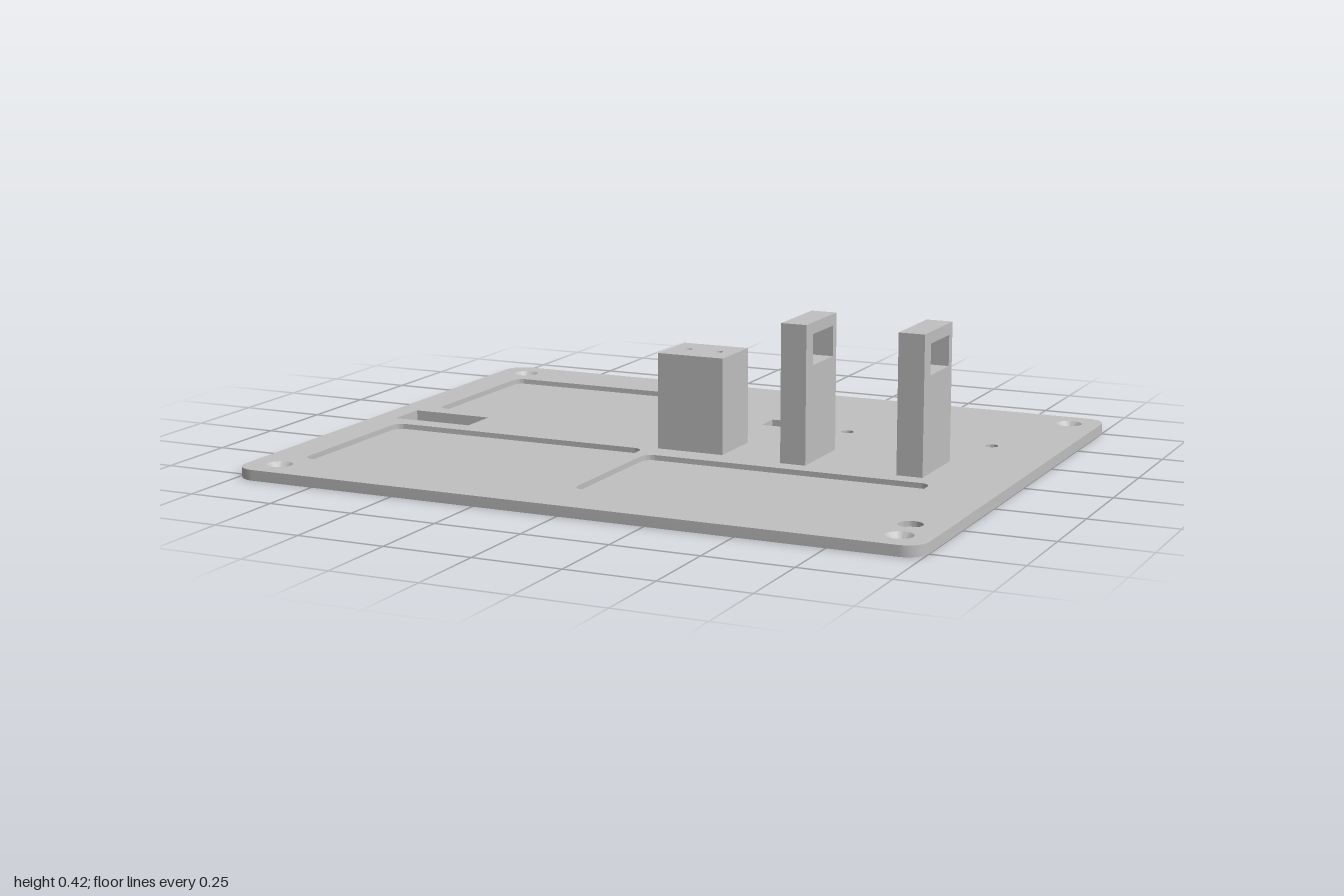
import * as THREE from 'three';
import { toCreasedNormals } from 'three/addons/utils/BufferGeometryUtils.js';

const grey = new THREE.MeshStandardMaterial({ color: 0xc0c0c0 });
grey.name = 'grey plastic';

const TOP = 0.03;      // upper face of the plate
const FLOOR = 0.015;   // floor of the pockets

// Closed outlines in the x/z plane (Vector2.y holds z)
function rect(x0, x1, z0, z1, r = 0) {
  if (!r) return [[x0, z0], [x1, z0], [x1, z1], [x0, z1]].map(p => new THREE.Vector2(...p));
  const centres = [[x1 - r, z1 - r], [x0 + r, z1 - r], [x0 + r, z0 + r], [x1 - r, z0 + r]];
  const n = 8;
  return centres.flatMap(([x, z], i) => Array.from({ length: n + 1 }, (_, k) => {
    const a = (i + k / n) * Math.PI / 2;
    return new THREE.Vector2(x + r * Math.cos(a), z + r * Math.sin(a));
  }));
}

function circle(x, z, r, n = 32) {
  return Array.from({ length: n }, (_, k) => {
    const a = k / n * Math.PI * 2;
    return new THREE.Vector2(x + r * Math.cos(a), z + r * Math.sin(a));
  });
}

// Band between two outlines: faces outward when it rises, inward when it falls
function band(out, ringA, yA, ringB, yB) {
  ringA.forEach((a, i) => {
    const j = (i + 1) % ringA.length;
    const b = ringB[i], c = ringB[j], d = ringA[j];
    out.push(a.x, yA, a.y, b.x, yB, b.y, c.x, yB, c.y);
    out.push(a.x, yA, a.y, c.x, yB, c.y, d.x, yA, d.y);
  });
}

// Flat face with holes, looking up or down
function cap(out, ring, holes, y, up) {
  const pts = [...ring, ...holes.flat()];
  for (const t of THREE.ShapeUtils.triangulateShape(ring, holes)) {
    const [a, b, c] = t.map(i => pts[i]);
    const facesDown = (b.x - a.x) * (c.y - a.y) - (b.y - a.y) * (c.x - a.x) > 0;
    for (const p of facesDown === up ? [a, c, b] : [a, b, c]) out.push(p.x, y, p.y);
  }
}

function createPlate() {
  const outline = rect(-1, 1, -0.805, 0.805, 0.06);
  const pockets = [
    rect(-0.893, -0.083, -0.626, -0.123, 0.03),
    rect(-0.893, -0.083, 0.118, 0.623, 0.03),
    rect(-0.048, 0.8, 0.176, 0.623, 0.03),
    circle(0.898, 0.602, 0.033),
  ];
  const through = [
    rect(-0.933, -0.687, -0.064, 0.059),
    rect(0.094, 0.26, -0.396, -0.316),
    circle(0.357, -0.334, 0.019),
    circle(0.798, -0.334, 0.019),
  ];
  const screws = [[-1, -1], [1, -1], [-1, 1], [1, 1]].map(([sx, sz]) => ({
    wide: circle(sx * 0.91, sz * 0.714, 0.037),
    narrow: circle(sx * 0.91, sz * 0.714, 0.018),
  }));

  const out = [];
  cap(out, outline, [...pockets, ...through, ...screws.map(s => s.wide)], TOP, true);
  cap(out, outline, [...through, ...screws.map(s => s.narrow)], 0, false);
  band(out, outline, 0, outline, TOP);
  for (const p of pockets) {
    band(out, p, TOP, p, FLOOR);
    cap(out, p, [], FLOOR, true);
  }
  for (const h of through) band(out, h, TOP, h, 0);
  // countersunk screw holes
  for (const s of screws) {
    band(out, s.wide, TOP, s.narrow, 0.012);
    band(out, s.narrow, 0.012, s.narrow, 0);
  }
  const geo = new THREE.BufferGeometry();
  geo.setAttribute('position', new THREE.Float32BufferAttribute(out, 3));
  return toCreasedNormals(geo, 0.5);
}

function extrude(ring, holes, depth) {
  const shape = new THREE.Shape(ring);
  shape.holes = holes.map(h => new THREE.Path(h));
  return new THREE.ExtrudeGeometry(shape, { depth, bevelEnabled: false });
}

export function createModel() {
  const model = new THREE.Group();
  model.name = 'mountingPlate';
  const add = (name, geo) => {
    const mesh = new THREE.Mesh(geo, grey);
    mesh.name = name;
    model.add(mesh);
    return mesh;
  };

  add('basePlate', createPlate());

  // Block with two pin holes in its top
  const blockTop = 0.305;
  const pinHoles = [0.005, 0.102].map(x => circle(x, 0.006, 0.01, 20));
  const block = extrude(rect(-0.048, 0.152, -0.08, 0.096), pinHoles, blockTop - TOP);
  block.rotateX(Math.PI / 2);
  add('pinBlock', toCreasedNormals(block, 0.5)).position.y = blockTop;

  // Two upright posts with a window near the top
  [['rightPost', 0.412], ['leftPost', 0.754]].forEach(([name, x]) => {
    const post = extrude(rect(-0.102, 0.119, TOP, 0.423), [rect(-0.077, 0.07, 0.303, 0.39)], 0.075);
    post.rotateY(-Math.PI / 2);
    add(name, post).position.x = x;
  });

  return model;
}
